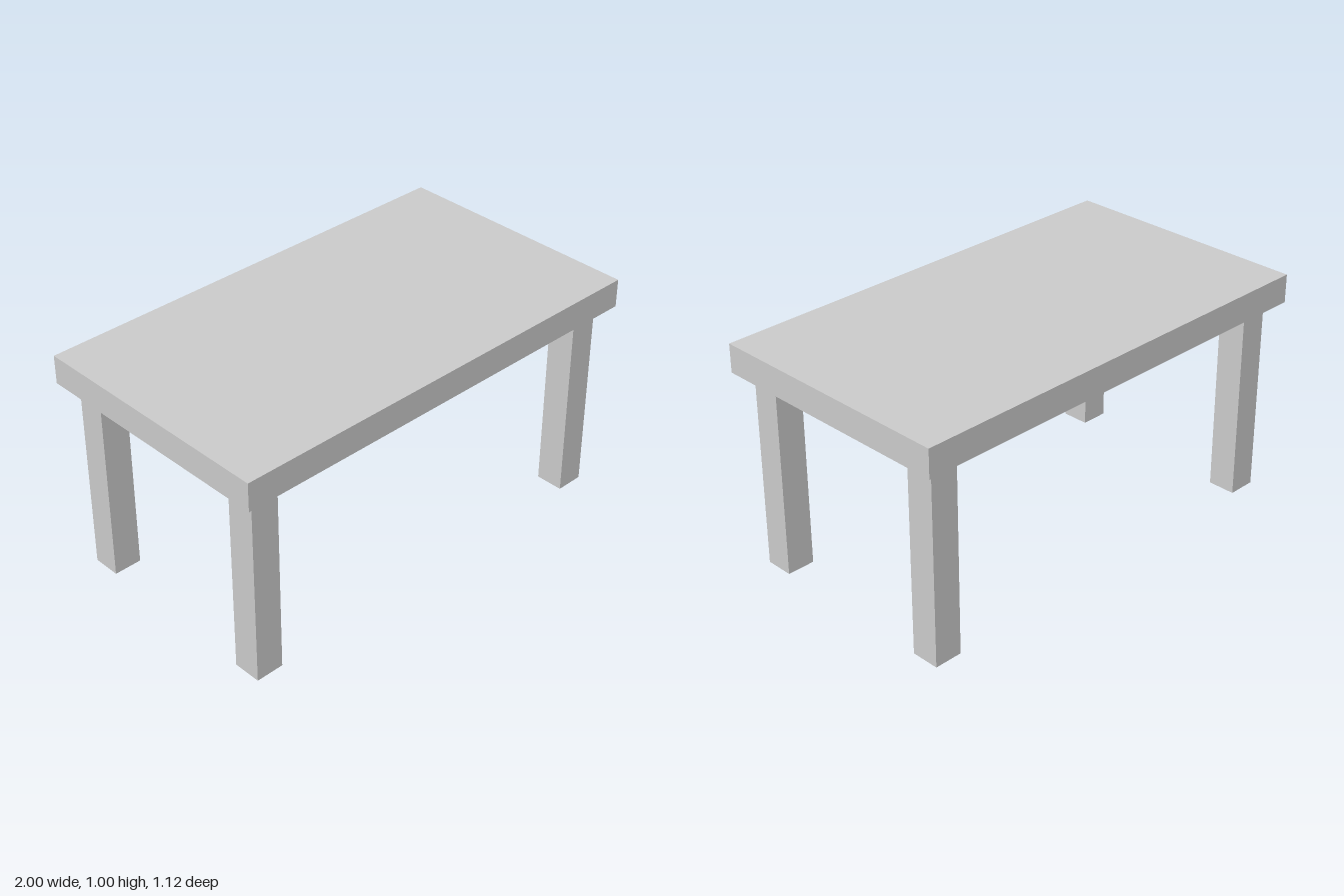
import * as THREE from 'three';

const HEIGHT = 1;
const TOP_THICKNESS = 0.125;
const LEG_WIDTH = 0.125;
const LEG_HEIGHT = HEIGHT - TOP_THICKNESS;

export function createModel() {
  const table = new THREE.Group();
  table.name = 'table';
  const material = new THREE.MeshStandardMaterial({ color: 0xcccccc, flatShading: true });

  // Rectangular slab
  const top = new THREE.Mesh(new THREE.BoxGeometry(2, TOP_THICKNESS, 1.122), material);
  top.name = 'tableTop';
  top.position.y = HEIGHT - TOP_THICKNESS / 2;
  table.add(top);

  // Four square legs, inset from the corners
  const legGeometry = new THREE.BoxGeometry(LEG_WIDTH, LEG_HEIGHT, LEG_WIDTH);
  for (const [side, x] of [['Left', 0.875], ['Right', -0.875]]) {
    for (const [end, z] of [['front', 0.4375], ['back', -0.4375]]) {
      const leg = new THREE.Mesh(legGeometry, material);
      leg.name = `${end}${side}Leg`;
      leg.position.set(x, LEG_HEIGHT / 2, z);
      table.add(leg);
    }
  }
  return table;
}
